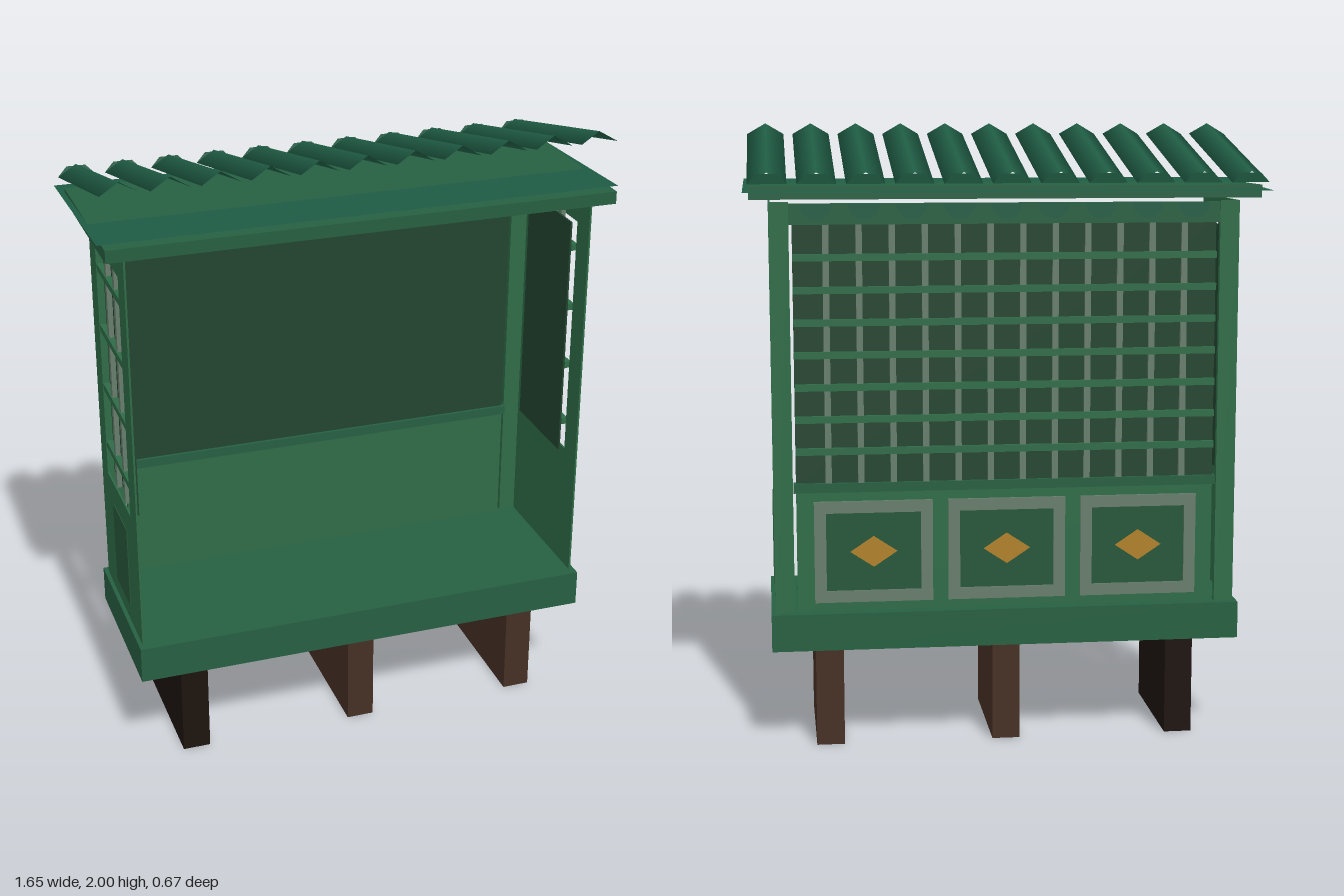
import * as THREE from 'three';

const mat = (color, side = THREE.FrontSide) => new THREE.MeshStandardMaterial({ color, side });

export function createModel() {
  const root = new THREE.Group();
  const D = THREE.DoubleSide;
  const green = mat(0x2e6b47), trim = mat(0x265f41), dark = mat(0x22442f), inset = mat(0x265639);
  const tileMat = mat(0x1f5c44, D), wallMat = mat(0x2e6b47, D), bar = mat(0x667d6c);
  const gold = mat(0xb0802a), brown = mat(0x453024), darkBrown = mat(0x1c130e);

  const add = (name, geo, material, x = 0, y = 0, z = 0, parent = root) => {
    const m = new THREE.Mesh(geo, material);
    m.name = name;
    m.position.set(x, y, z);
    parent.add(m);
    return m;
  };
  // Box given by its limits on each axis
  const box = (name, material, x0, x1, y0, y1, z0, z1, parent = root) =>
    add(name, new THREE.BoxGeometry(Math.abs(x1 - x0), y1 - y0, z1 - z0), material,
      (x0 + x1) / 2, (y0 + y1) / 2, (z0 + z1) / 2, parent);
  // Rectangular outline in shape coordinates
  const rect = (Cls, x0, x1, y0, y1) => new Cls([
    new THREE.Vector2(x0, y0), new THREE.Vector2(x1, y0), new THREE.Vector2(x1, y1), new THREE.Vector2(x0, y1)]);

  // Feet and plinth
  for (const x of [-0.575, 0, 0.575])
    box('foot', x < 0 ? darkBrown : brown, x - 0.045, x + 0.045, 0, 0.33, -0.18, 0.26);
  box('plinth', trim, -0.76, 0.76, 0.33, 0.45, -0.23, 0.315);

  // Thin side walls with a latticed window
  for (const s of [-1, 1]) {
    const side = new THREE.Group();
    side.name = s > 0 ? 'leftSide' : 'rightSide';
    root.add(side);
    const shape = rect(THREE.Shape, -0.285, 0.205, 0.45, 1.76); // shape x is -z
    shape.holes.push(rect(THREE.Path, -0.2, 0.12, 0.87, 1.675));
    const wall = add('sideWall', new THREE.ExtrudeGeometry(shape, { depth: 0.006, bevelEnabled: false }),
      wallMat, s * 0.744 - 0.003, 0, 0, side);
    wall.rotation.y = Math.PI / 2;
    box('windowBoard', dark, s * 0.718, s * 0.724, 0.87, 1.675, -0.12, 0.2, side);
    for (const z of [-0.015, 0.1])
      box('windowUpright', bar, s * 0.725, s * 0.741, 0.87, 1.69, z - 0.012, z + 0.012, side);
    for (let i = 0; i < 4; i++)
      box('windowCrossbar', green, s * 0.725, s * 0.745, 0.963 + i * 0.205, 0.985 + i * 0.205, -0.12, 0.2, side);
    box('sideInset', inset, s * 0.745, s * 0.75, 0.51, 0.79, -0.05, 0.14, side);
    box('rearPost', green, s * 0.685, s * 0.746, 0.45, 1.76, -0.205, -0.185, side);
    box('beamBracket', trim, s * 0.69, s * 0.72, 1.65, 1.7, -0.184, -0.174, side);
  }

  // Rear wall: notice board, lower panel and rails
  box('noticeBoard', dark, -0.675, 0.675, 0.87, 1.69, -0.19, -0.18);
  box('lowerPanel', green, -0.675, 0.675, 0.45, 0.85, -0.192, -0.178);
  box('middleRail', trim, -0.683, 0.683, 0.84, 0.87, -0.203, -0.17);
  box('topBeam', trim, -0.72, 0.72, 1.69, 1.755, -0.203, -0.17);

  // Lattice on the back
  const lattice = new THREE.Group();
  lattice.name = 'rearLattice';
  root.add(lattice);
  for (let i = 1; i <= 12; i++) {
    const x = -0.675 + i * 1.35 / 13;
    box('latticeUpright', bar, x - 0.01, x + 0.01, 0.87, 1.69, -0.2, -0.19, lattice);
  }
  for (let i = 1; i <= 7; i++) {
    const y = 0.87 + i * 0.82 / 8;
    box('latticeCrossbar', green, -0.675, 0.675, y - 0.011, y + 0.011, -0.204, -0.19, lattice);
  }

  // Three framed panels with a diamond below the lattice
  for (const x of [-0.43, 0, 0.43]) {
    const frame = rect(THREE.Shape, -0.19, 0.19, -0.165, 0.165);
    frame.holes.push(rect(THREE.Path, -0.152, 0.152, -0.127, 0.127));
    add('panelFrame', new THREE.ExtrudeGeometry(frame, { depth: 0.01, bevelEnabled: false }), bar, x, 0.645, -0.202);
    box('panelField', inset, x - 0.152, x + 0.152, 0.518, 0.772, -0.196, -0.19);
    const diamond = new THREE.Shape([[0.075, 0], [0, 0.05], [-0.075, 0], [0, -0.05]].map(p => new THREE.Vector2(...p)));
    add('panelDiamond', new THREE.ExtrudeGeometry(diamond, { depth: 0.008, bevelEnabled: false }), gold, x, 0.645, -0.202);
  }

  // Cornice and the thin roof sheet lying on it
  box('cornice', trim, -0.807, 0.807, 1.77, 1.81, -0.25, 0.327);
  const sheet = add('roofSheet', new THREE.PlaneGeometry(1.65, 0.63), tileMat, 0, 1.806, -0.016);
  sheet.rotation.x = -Math.PI / 2 - 0.037;

  // Sloping ridge tiles, closed at the low rear end
  const slope = Math.atan2(0.145, 0.635), len = Math.hypot(0.145, 0.635);
  const tileGeo = new THREE.CylinderGeometry(0.06, 0.06, len, 2, 1, true, Math.PI / 2, Math.PI)
    .rotateX(Math.PI / 2).scale(1, 0.6, 1);
  const capGeo = new THREE.CircleGeometry(0.06, 2, 0, Math.PI).scale(1, 0.6, 1);
  const scallopGeo = new THREE.CircleGeometry(0.05, 12, Math.PI, Math.PI);
  for (let i = -5; i <= 5; i++) {
    const tile = new THREE.Group();
    tile.name = 'roofTile';
    tile.position.set(i * 0.15, 1.8925, -0.0135);
    tile.rotation.x = -slope;
    add('tileCover', tileGeo, tileMat, 0, 0, 0, tile);
    add('tileEnd', capGeo, tileMat, 0, 0, -len / 2 + 0.001, tile);
    root.add(tile);
    if (Math.abs(i) < 5) add('eaveScallop', scallopGeo, tileMat, i * 0.15, 1.755, -0.2045);
  }
  return root;
}
